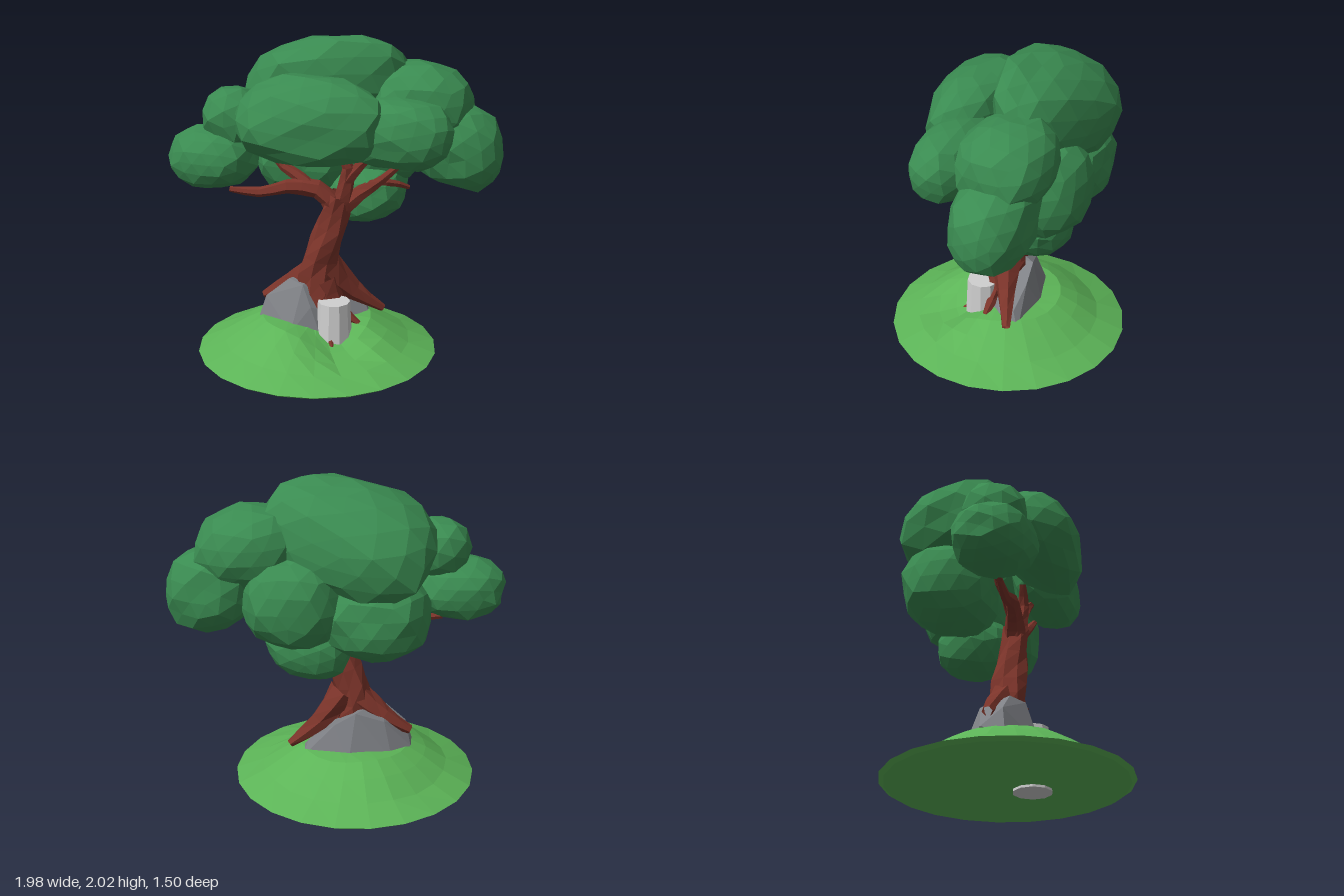
import * as THREE from 'three';
import { ConvexGeometry } from 'three/addons/geometries/ConvexGeometry.js';

const V = (p) => new THREE.Vector3(...p);
const material = (name, color, side = THREE.FrontSide) => {
  const m = new THREE.MeshStandardMaterial({ color, flatShading: true, side });
  m.name = name;
  return m;
};

// Rounded, slightly boxy foliage clump; taper narrows its depth toward +x,
// leanX and leanZ raise its +x and +z ends
function clumpGeometry([cx, cy, cz], [rx, ry, rz], taper, leanX, leanZ, seed) {
  const g = new THREE.IcosahedronGeometry(1, rx < 0.2 ? 1 : 2);
  g.rotateX(seed * 1.3).rotateY(seed * 2.1);
  const pos = g.attributes.position;
  const p = new THREE.Vector3();
  for (let i = 0; i < pos.count; i++) {
    p.fromBufferAttribute(pos, i);
    const norm = (Math.abs(p.x) ** 2.5 + Math.abs(p.y) ** 2.5 + Math.abs(p.z) ** 2.5) ** 0.4;
    const bump = 1 + 0.07 * Math.sin(p.x * 5 + seed) * Math.sin(p.y * 6 + seed * 2) * Math.cos(p.z * 5 - seed);
    p.multiplyScalar(bump / norm);
    pos.setXYZ(i, cx + p.x * rx, cy + p.y * ry + p.x * leanX + p.z * leanZ, cz + p.z * rz * (1 - taper * p.x));
  }
  g.computeVertexNormals();
  return g;
}

// Tapered limb along a curve, with uneven ridges around it
function limbGeometry(points, r0, r1, sides = 6, ridge = 0.08) {
  const curve = new THREE.CatmullRomCurve3(points.map(V));
  const steps = points.length * 2 - 2;
  const g = new THREE.TubeGeometry(curve, steps, 1, sides, false);
  const pos = g.attributes.position;
  const p = new THREE.Vector3();
  for (let i = 0; i <= steps; i++) {
    const c = curve.getPointAt(i / steps);
    for (let j = 0; j <= sides; j++) {
      const k = i * (sides + 1) + j;
      const r = THREE.MathUtils.lerp(r0, r1, i / steps) * (1 + ridge * Math.sin((j % sides) * 2.4 + i * 1.7));
      p.fromBufferAttribute(pos, k).sub(c).multiplyScalar(r).add(c);
      pos.setXYZ(k, p.x, p.y, p.z);
    }
  }
  g.computeVertexNormals();
  return g;
}

// Grassy mound: rings of a profile, with a hollow at the front
function moundGeometry() {
  const profile = [[0, 0.26], [0.12, 0.265], [0.23, 0.265], [0.34, 0.255], [0.45, 0.19], [0.58, 0.105], [0.75, 0.035], [0.72, 0.015], [0, 0.015]];
  const g = new THREE.LatheGeometry(profile.map(([r, y]) => new THREE.Vector2(r, y)).reverse(), 22);
  const pos = g.attributes.position;
  for (let i = 0; i < pos.count; i++) {
    const x = pos.getX(i) - 0.1;
    const z = pos.getZ(i);
    let y = pos.getY(i);
    if (y > 0.05) {
      y += 0.012 * Math.sin(x * 9 + 1) * Math.cos(z * 8);
      y -= 0.13 * Math.exp(-((x - 0.12) ** 2 + (z - 0.25) ** 2) / 0.035);
    }
    pos.setXYZ(i, x, y, z);
  }
  g.computeVertexNormals();
  return g;
}

export function createModel() {
  const tree = new THREE.Group();
  tree.name = 'tree';
  const leaf = material('leaf green', 0x3a8b51);
  const grass = material('grass green', 0x5cb457);
  const bark = material('red brown bark', 0x7c342a, THREE.DoubleSide);
  const stone = material('grey stone', 0x7f8186);
  const pale = material('pale grey', 0xcfcfcf);
  const add = (name, geometry, mat, parent = tree) => {
    const mesh = new THREE.Mesh(geometry, mat);
    mesh.name = name;
    parent.add(mesh);
  };

  add('mound', moundGeometry(), grass);

  // Faceted post standing through the mound
  add('post', new THREE.CylinderGeometry(0.1, 0.12, 0.4, 10).translate(0.045, 0.2, 0.105), pale);

  // Boulder wrapped around the base of the trunk
  add('boulder', new ConvexGeometry([
    [-0.46, 0.2, 0.11], [-0.46, 0.25, -0.04], [-0.2, 0.2, 0.23], [-0.03, 0.2, 0.17],
    [0.23, 0.2, -0.11], [0.2, 0.2, -0.22], [-0.1, 0.2, -0.25], [-0.36, 0.2, -0.16],
    [-0.41, 0.37, 0.08], [-0.26, 0.5, 0.07], [-0.15, 0.49, 0.13], [-0.09, 0.36, 0.16],
    [-0.13, 0.5, -0.16], [0, 0.42, -0.18], [0.16, 0.31, -0.17], [-0.3, 0.43, -0.1],
  ].map(V)), stone);

  // Trunk, roots and branches: path, start radius, end radius
  const wood = new THREE.Group();
  wood.name = 'wood';
  tree.add(wood);
  add('trunk', limbGeometry([[-0.06, 0.2, 0], [-0.11, 0.45, 0.01], [-0.08, 0.63, 0], [-0.01, 0.83, 0], [0.05, 1.06, 0]], 0.135, 0.08, 8, 0.1), bark, wood);
  const roots = [
    [[[-0.13, 0.55, -0.01], [-0.28, 0.44, -0.02], [-0.45, 0.34, 0]], 0.09, 0.03],
    [[[-0.03, 0.58, -0.02], [0.1, 0.41, -0.09], [0.28, 0.27, -0.18]], 0.1, 0.025],
    [[[-0.04, 0.5, 0.02], [0.05, 0.32, 0.02], [0.18, 0.23, 0.02]], 0.09, 0.018],
    [[[-0.06, 0.45, 0.03], [0, 0.28, 0.1], [0.07, 0.14, 0.23]], 0.07, 0.012],
  ];
  const branches = [
    [[[0.03, 0.96, 0], [-0.06, 1.08, 0.03], [-0.25, 1.11, 0.08], [-0.42, 1.06, 0.1], [-0.62, 1.07, 0.13]], 0.07, 0.018],
    [[[-0.1, 1.09, 0.04], [-0.22, 1.17, 0.03], [-0.33, 1.23, 0.02], [-0.38, 1.31, 0.02]], 0.045, 0.02],
    [[[0.05, 0.98, 0], [0.09, 1.13, 0.02], [0.11, 1.25, 0.03], [0.04, 1.37, 0.05]], 0.065, 0.022],
    [[[0.1, 1.16, 0.02], [0.16, 1.24, 0.02], [0.28, 1.36, 0.04]], 0.045, 0.02],
    [[[0.04, 0.95, -0.01], [0.17, 1.07, -0.02], [0.28, 1.15, -0.02], [0.44, 1.3, 0]], 0.06, 0.016],
    [[[0.05, 0.98, -0.02], [0.2, 1.1, -0.1], [0.32, 1.12, -0.15], [0.42, 1.07, -0.24]], 0.05, 0.015],
  ];
  roots.forEach(([path, a, b]) => add('root', limbGeometry(path, a, b), bark, wood));
  branches.forEach(([path, a, b]) => add('branch', limbGeometry(path, a, b), bark, wood));

  // Foliage clumps: centre, radii, taper, lean along x and z
  const foliage = new THREE.Group();
  foliage.name = 'foliage';
  tree.add(foliage);
  [
    [[-0.07, 1.575, 0.2], [0.45, 0.25, 0.25], 0.25, 0, -0.04],
    [[0.43, 1.5, 0.09], [0.33, 0.21, 0.19], 0, 0, 0],
    [[-0.1, 1.69, -0.27], [0.51, 0.29, 0.31], 0.35, 0.07, 0.08],
    [[0.48, 1.61, -0.3], [0.31, 0.24, 0.27], 0, -0.03, 0],
    [[0.7, 1.35, -0.31], [0.28, 0.26, 0.235], 0.1, -0.05, 0],
    [[-0.72, 1.275, 0.13], [0.27, 0.185, 0.24], -0.1, 0, 0],
    [[-0.6, 1.53, 0.09], [0.18, 0.18, 0.19], 0, 0, 0],
    [[-0.27, 1.23, -0.3], [0.32, 0.26, 0.28], 0, 0, 0],
    [[0.2, 1.33, -0.4], [0.29, 0.28, 0.255], 0, 0, 0],
    [[0.13, 1.01, -0.29], [0.25, 0.19, 0.23], 0, 0.03, 0],
  ].forEach(([centre, radii, taper, leanX, leanZ], i) => {
    add('foliageClump', clumpGeometry(centre, radii, taper, leanX, leanZ, i + 1), leaf, foliage);
  });

  return tree;
}
